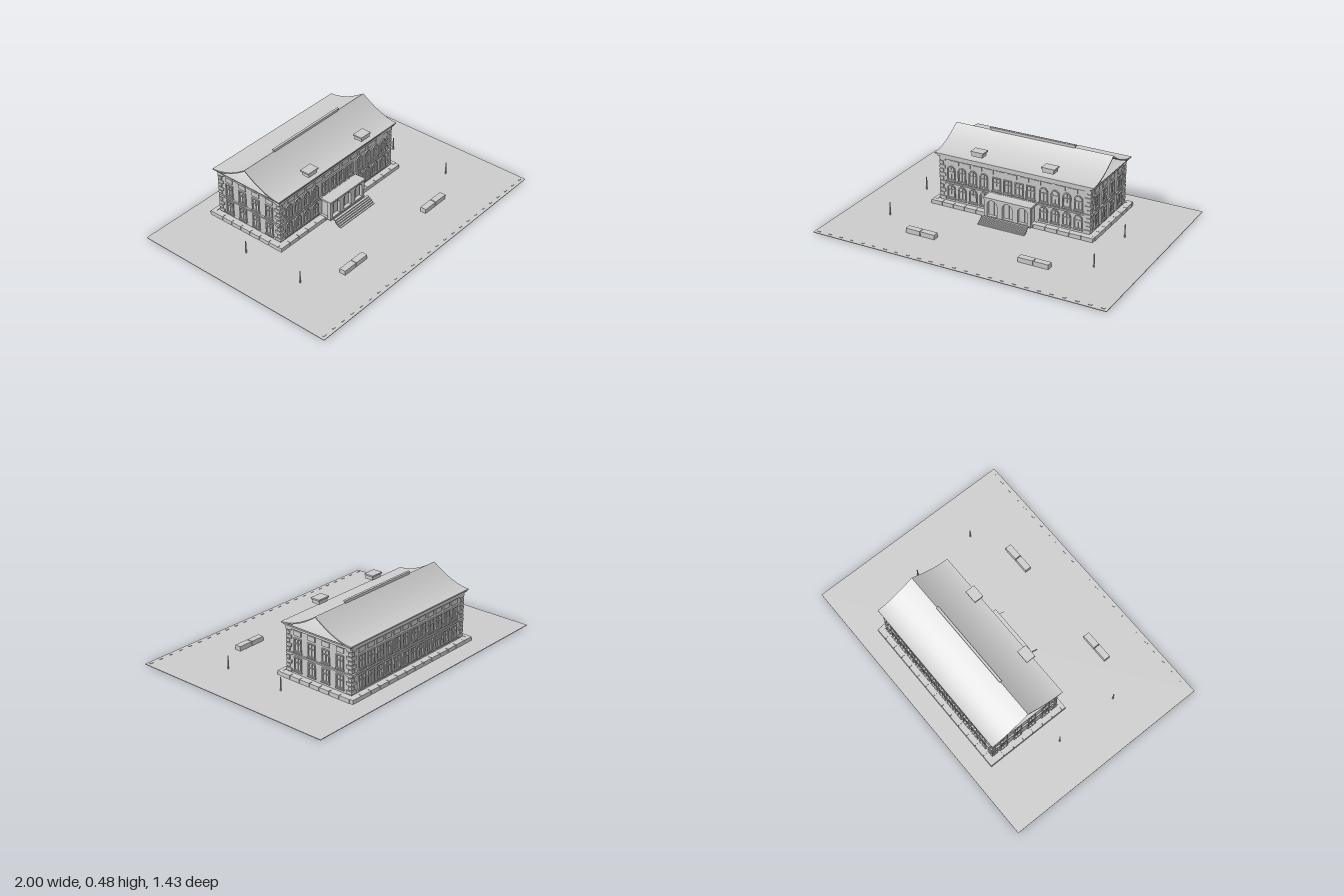
import * as THREE from 'three';

const stone = new THREE.MeshStandardMaterial({ color: 0xcccccc });
stone.name = 'light grey stone';
const stoneSheet = new THREE.MeshStandardMaterial({ color: 0xcccccc, side: THREE.DoubleSide });
stoneSheet.name = 'light grey stone sheet';

const ZC = -0.285; // ridge line of the building

function add(parent, name, geometry, material = stone) {
  const mesh = new THREE.Mesh(geometry, material);
  mesh.name = name;
  parent.add(mesh);
  return mesh;
}

// Box given by its limits on each axis
function box(parent, name, x0, x1, y0, y1, z0, z1) {
  const mesh = add(parent, name, new THREE.BoxGeometry(x1 - x0, y1 - y0, z1 - z0));
  mesh.position.set((x0 + x1) / 2, (y0 + y1) / 2, (z0 + z1) / 2);
  return mesh;
}

// Outline with a straight foot and a round or square head
function opening(Kind, x, y, w, h, arched) {
  const p = new Kind(), r = w / 2;
  p.moveTo(x - r, y);
  p.lineTo(x + r, y);
  if (arched) {
    p.lineTo(x + r, y + h - r);
    p.absarc(x, y + h - r, r, 0, Math.PI, false);
  } else {
    p.lineTo(x + r, y + h);
    p.lineTo(x - r, y + h);
  }
  p.closePath();
  return p;
}

// Framed window standing on a wall whose face is local z = 0
function windowUnit(parent, x, y, w, h, arched) {
  const g = new THREE.Group();
  g.name = arched ? 'archedWindow' : 'window';
  const s = opening(THREE.Shape, x, y, w, h, arched);
  s.holes.push(opening(THREE.Path, x, y + 0.006, w - 0.014, h - 0.013, arched));
  add(g, 'windowFrame', new THREE.ExtrudeGeometry(s, { depth: 0.008, bevelEnabled: false, curveSegments: 10 }));
  box(g, 'mullion', x - 0.002, x + 0.002, y, y + h - 0.004, 0, 0.005);
  box(g, 'transom', x - w / 2, x + w / 2, y + h * 0.58, y + h * 0.58 + 0.005, 0, 0.006);
  box(g, 'sill', x - w / 2 - 0.004, x + w / 2 + 0.004, y - 0.007, y, 0, 0.011);
  parent.add(g);
}

// Wall face with corner blocks and string courses
function facade(parent, name, half, angle, px, pz) {
  const g = new THREE.Group();
  g.name = name;
  g.rotation.y = angle;
  g.position.set(px, 0, pz);
  for (let i = 0; i < 11; i++) {
    const len = i % 2 ? 0.022 : 0.036, y = 0.035 + i * 0.027;
    for (const s of [-1, 1]) {
      const a = s * (half + 0.006), b = s * (half - len);
      box(g, 'cornerBlock', Math.min(a, b), Math.max(a, b), y, y + 0.02, -0.004, 0.007);
    }
  }
  box(g, 'stringCourse', -half, half, 0.152, 0.162, -0.002, 0.01);
  box(g, 'upperCourse', -half, half, 0.318, 0.335, -0.002, 0.01);
  parent.add(g);
  return g;
}

// Concave roof profile: height at distance w from the ridge
const roofY = (w) => 0.355 + 0.11 * Math.pow(Math.max(0, 1 - w / 0.272), 1.8);

function buildRoof(parent) {
  const roof = new THREE.Group();
  roof.name = 'roof';
  const n = 32, top = [], under = [];
  for (let i = 0; i <= n; i++) {
    const z = -0.272 + (0.544 * i) / n, y = roofY(Math.abs(z));
    top.push(new THREE.Vector2(z, y));
    under.unshift(new THREE.Vector2(z, y - 0.008));
  }
  // Swept main slopes
  const geo = new THREE.ExtrudeGeometry(new THREE.Shape([...top, ...under]), { depth: 1.12, bevelEnabled: false });
  geo.translate(0, 0, -0.56);
  geo.rotateY(-Math.PI / 2);
  geo.translate(0, 0, ZC);
  add(roof, 'roofSlopes', geo);

  // Curved hips set inside the open gables
  for (const s of [-1, 1]) {
    const pos = [], idx = [], m = 14;
    for (let i = 0; i <= m; i++) {
      const t = i / m, w = 0.272 * t;
      const x = s * (0.3 + 0.258 * Math.pow(t, 0.85)), y = roofY(w) - 0.005;
      pos.push(x, y, ZC - w, x, y, ZC + w);
      if (i < m) {
        const a = i * 2;
        if (s > 0) idx.push(a, a + 1, a + 2, a + 1, a + 3, a + 2);
        else idx.push(a, a + 2, a + 1, a + 1, a + 2, a + 3);
      }
    }
    const hip = new THREE.BufferGeometry();
    hip.setAttribute('position', new THREE.Float32BufferAttribute(pos, 3));
    hip.setIndex(idx);
    hip.computeVertexNormals();
    add(roof, 'gableHip', hip, stoneSheet);
  }
  box(roof, 'ridgeCap', -0.3, 0.3, 0.462, 0.474, ZC - 0.005, ZC + 0.005);
  box(roof, 'ridgeTop', -0.305, 0.305, 0.474, 0.481, ZC - 0.008, ZC + 0.008);

  // Raised roof boxes over the front eave
  for (const s of [-1, 1]) {
    box(roof, 'roofBox', s * 0.25 - 0.038, s * 0.25 + 0.038, 0.386, 0.41, -0.07, -0.014);
    box(roof, 'roofBoxLid', s * 0.25 - 0.045, s * 0.25 + 0.045, 0.41, 0.42, -0.076, -0.01);
  }
  parent.add(roof);
}

function buildPortico(parent) {
  const g = new THREE.Group();
  g.name = 'portico';
  box(g, 'porticoBody', -0.15, 0.15, 0.03, 0.148, -0.03, 0.022);
  box(g, 'porticoRoof', -0.168, 0.168, 0.148, 0.16, -0.03, 0.055);
  box(g, 'porticoFloor', -0.165, 0.165, 0.02, 0.03, -0.03, 0.052);
  // Front screen with three arches
  const s = new THREE.Shape([[-0.165, 0.03], [0.165, 0.03], [0.165, 0.148], [-0.165, 0.148]].map((p) => new THREE.Vector2(...p)));
  for (const x of [-0.108, 0, 0.108]) s.holes.push(opening(THREE.Path, x, 0.034, 0.07, 0.108, true));
  const screen = add(g, 'archScreen', new THREE.ExtrudeGeometry(s, { depth: 0.022, bevelEnabled: false, curveSegments: 12 }));
  screen.position.z = 0.028;
  for (const x of [-0.108, 0, 0.108]) box(g, 'doorPost', x - 0.003, x + 0.003, 0.03, 0.14, 0.022, 0.028);
  // Entrance steps
  for (let i = 0; i < 5; i++) {
    const z = 0.134 - i * 0.011;
    box(g, 'step', -0.165, 0.165, i * 0.0085, (i + 1) * 0.0085, z - 0.016, z);
  }
  parent.add(g);
}

export function createModel() {
  const model = new THREE.Group();
  model.name = 'hall';
  box(model, 'ground', -1, 1, 0, 0.004, -0.715, 0.715);

  // Plinth of separate blocks around a solid core
  box(model, 'plinthCore', -0.568, 0.568, 0.003, 0.027, -0.575, 0.005);
  for (let i = 0; i < 14; i++) {
    const x = -0.577 + i * 0.0824;
    for (const z of [-0.583, -0.015]) box(model, 'plinthBlock', x, x + 0.079, 0.003, 0.03, z, z + 0.027);
  }
  for (let i = 0; i < 7; i++) {
    const z = -0.556 + i * 0.0775;
    for (const x of [-0.577, 0.55]) box(model, 'plinthBlock', x, x + 0.027, 0.003, 0.03, z, z + 0.074);
  }

  // Walls and cornice
  box(model, 'walls', -0.53, 0.53, 0.02, 0.338, -0.535, -0.035);
  box(model, 'cornice', -0.548, 0.548, 0.335, 0.348, -0.548, -0.02);

  // Front: arched bays either side of a rectangular centre
  const front = facade(model, 'frontFacade', 0.53, 0, 0, -0.035);
  for (const s of [-1, 1]) {
    for (let i = 0; i < 4; i++) {
      const x = s * (0.212 + i * 0.08);
      windowUnit(front, x, 0.175, 0.058, 0.1, true);
      windowUnit(front, x, 0.05, 0.058, 0.095, true);
    }
  }
  for (let i = 0; i < 11; i++) box(front, 'friezePanel', -0.46 + i * 0.084, -0.38 + i * 0.084 - 0.016, 0.285, 0.313, 0, 0.005);
  for (let i = 0; i < 4; i++) windowUnit(front, -0.12 + i * 0.08, 0.175, 0.06, 0.09, false);

  // Back: continuous window grid
  const back = facade(model, 'backFacade', 0.53, Math.PI, 0, -0.535);
  for (let i = 0; i < 12; i++) {
    const x = -0.44 + i * 0.08;
    windowUnit(back, x, 0.175, 0.06, 0.09, false);
    windowUnit(back, x, 0.05, 0.06, 0.09, false);
    box(back, 'friezePanel', x - 0.03, x + 0.03, 0.282, 0.312, 0, 0.005);
  }

  // Ends: four window columns
  for (const s of [-1, 1]) {
    const end = facade(model, 'endFacade', 0.25, (s * Math.PI) / 2, s * 0.53, ZC);
    for (let i = 0; i < 4; i++) {
      const x = -0.165 + i * 0.11;
      windowUnit(end, x, 0.175, 0.058, 0.09, false);
      windowUnit(end, x, 0.05, 0.058, 0.09, false);
      box(end, 'friezePanel', x - 0.028, x + 0.028, 0.28, 0.312, 0, 0.006);
    }
  }

  buildRoof(model);
  buildPortico(model);

  // Lamp posts and benches
  for (const s of [-1, 1]) {
    for (const z of [-0.15, 0.285]) {
      const post = add(model, 'lampPost', new THREE.CylinderGeometry(0.0035, 0.005, 0.09, 8));
      post.position.set(s * 0.715, 0.047, z);
    }
    for (const x of [0.34, 0.445]) box(model, 'planter', s * x - 0.05, s * x + 0.05, 0.003, 0.035, 0.403, 0.445);
  }

  // Markers along the front kerb
  for (let i = 0; i < 25; i++) {
    const x = -0.97 + i * 0.0808;
    box(model, 'kerbMarker', x - 0.011, x + 0.011, 0.003, 0.007, 0.688, 0.696);
  }
  return model;
}
